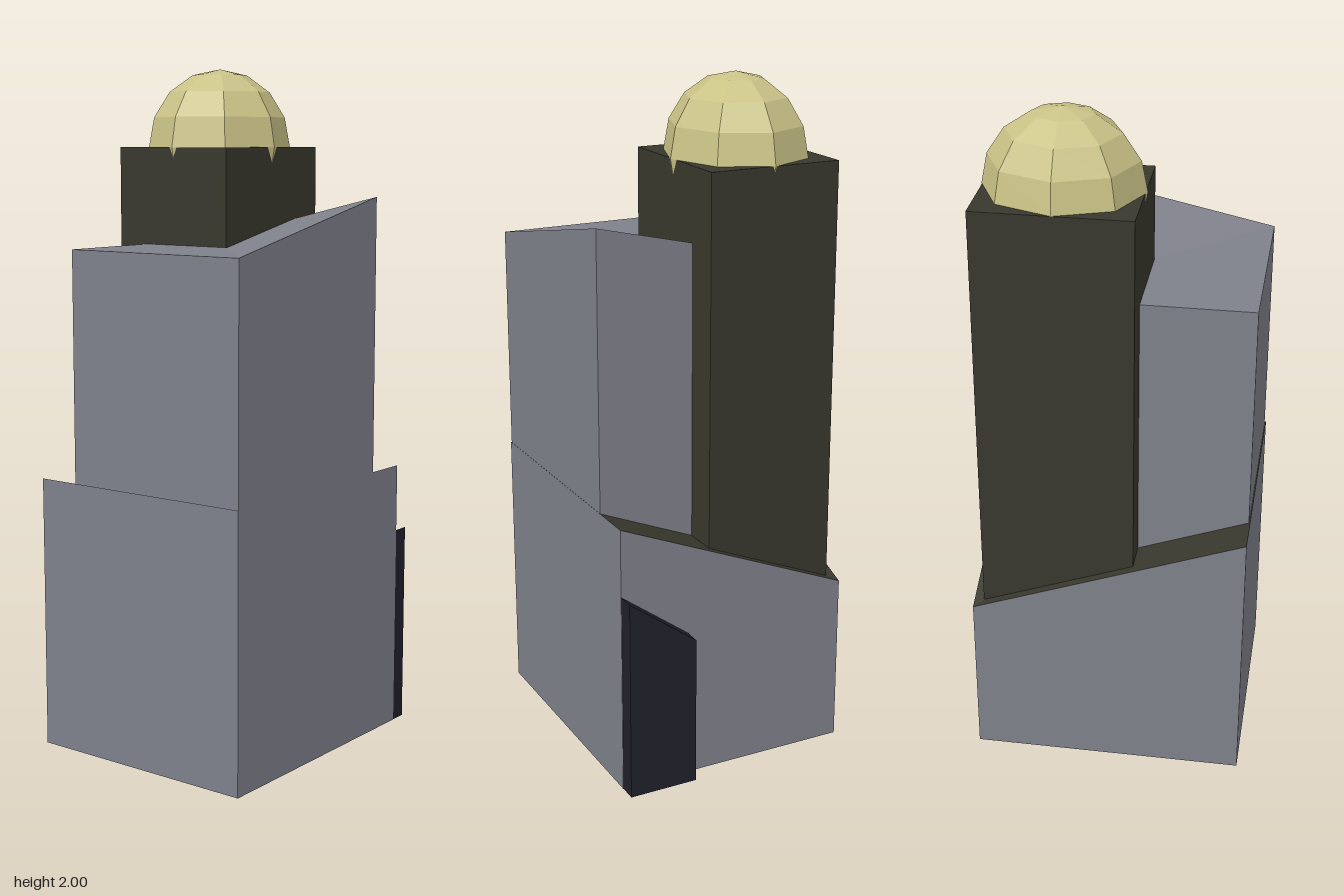
import * as THREE from 'three';

const mat = (name, color) => {
  const m = new THREE.MeshStandardMaterial({ color, flatShading: true });
  m.name = name;
  return m;
};

// Block with a separate height for each top corner:
// [left-back (-x,-z), left-front (-x,+z), right-front (+x,+z), right-back (+x,-z)]
function block(name, [x0, x1], [z0, z1], bottom, tops, sideMat, topMat = sideMat) {
  const plan = [[x0, z0], [x0, z1], [x1, z1], [x1, z0]];
  const corners = [
    ...plan.map(([x, z]) => [x, bottom, z]),
    ...plan.map(([x, z], i) => [x, tops[i], z]),
  ];
  const quads = [[3, 2, 1, 0]];
  for (let i = 0; i < 4; i++) {
    const j = (i + 1) % 4;
    quads.push([i, j, j + 4, i + 4]);
  }
  quads.push([4, 5, 6, 7]); // top comes last
  const pos = [];
  for (const [a, b, c, d] of quads) {
    for (const k of [a, b, c, a, c, d]) pos.push(...corners[k]);
  }
  const geo = new THREE.BufferGeometry();
  geo.setAttribute('position', new THREE.Float32BufferAttribute(pos, 3));
  geo.computeVertexNormals();
  geo.addGroup(0, 30, 0);
  geo.addGroup(30, 6, 1);
  const mesh = new THREE.Mesh(geo, [sideMat, topMat]);
  mesh.name = name;
  return mesh;
}

export function createModel() {
  const stone = mat('grey stone', 0x7f818b);
  const dark = mat('dark olive', 0x39382e);
  const gold = mat('pale gold', 0xcac387);
  const navy = mat('dark navy', 0x21202b);

  const model = new THREE.Group();
  model.name = 'domedTower';

  // Base with a dark roof that dips at the back corner
  model.add(block('base', [-0.36, 0.358], [-0.377, 0.428], 0,
    [0.51, 0.81, 0.81, 0.81], stone, dark));

  // Upper storey with one raised roof corner
  model.add(block('upperBlock', [-0.235, 0.357], [-0.242, 0.424], 0.4,
    [1.485, 1.485, 1.485, 1.627], stone));

  // Square dark tower
  model.add(block('tower', [-0.332, 0.066], [-0.349, 0.1], 0.3,
    [1.77, 1.77, 1.77, 1.77], dark));

  // Back annex with a slanted top
  model.add(block('backAnnex', [0.148, 0.357], [-0.43, -0.37], 0,
    [0.452, 0.452, 0.607, 0.607], navy));

  // Faceted dome, its lower half sunk into the tower
  const dome = new THREE.Mesh(new THREE.SphereGeometry(1, 8, 8), gold);
  dome.name = 'dome';
  dome.scale.set(0.203, 0.23, 0.229);
  dome.position.set(-0.129, 1.77, -0.123);
  model.add(dome);

  return model;
}
